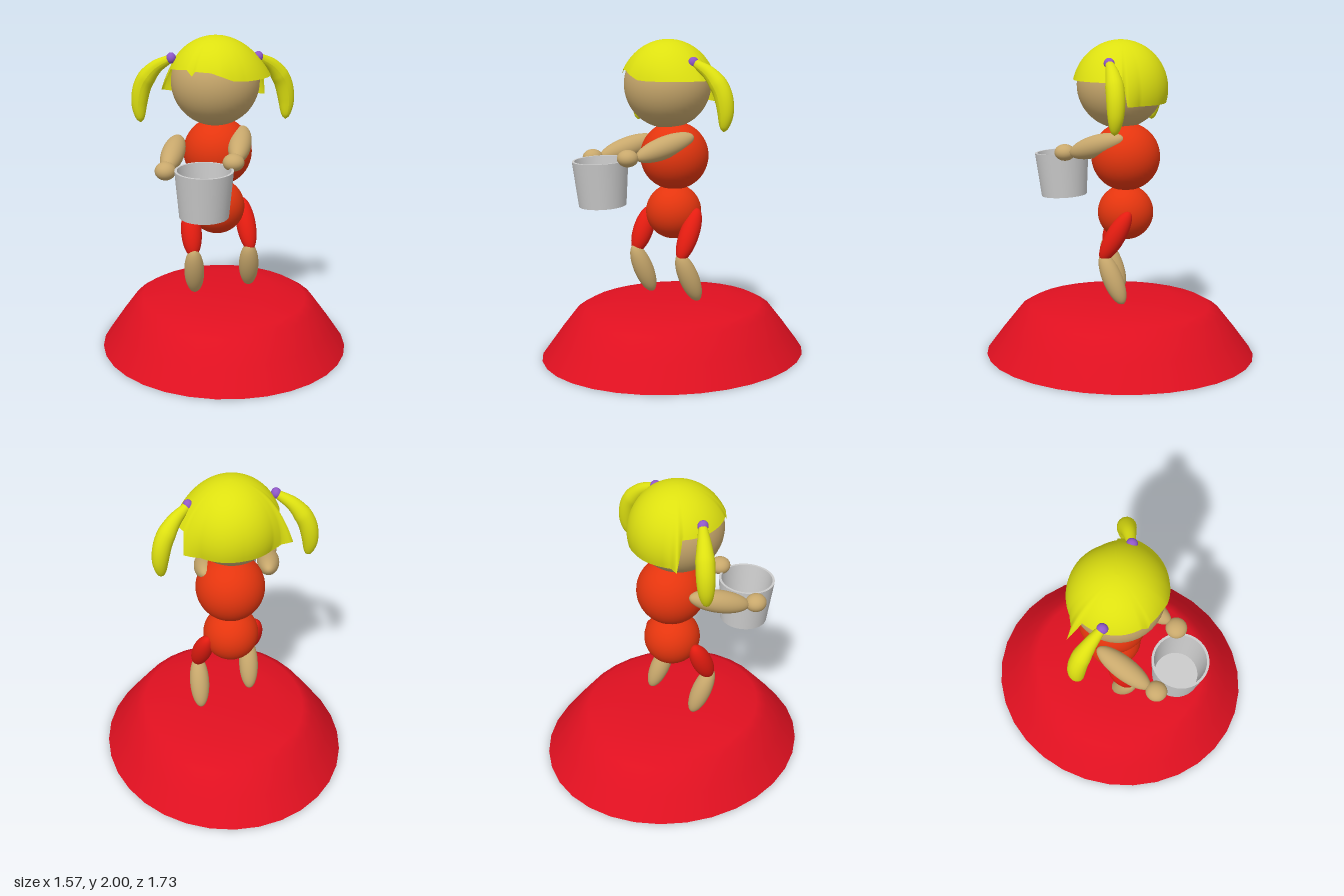
import * as THREE from 'three';

const mat = (color, side = THREE.FrontSide) => new THREE.MeshStandardMaterial({ color, side });
const skin = mat(0xc8a86c), shirt = mat(0xe5350e), trousers = mat(0xe51c10);
const hairMat = mat(0xdde010, THREE.DoubleSide), knotMat = mat(0x9058c8);
const V = (p) => new THREE.Vector3(...p);

function add(group, name, geometry, material) {
  const mesh = new THREE.Mesh(geometry, material);
  mesh.name = name;
  group.add(mesh);
  return mesh;
}

function ball(group, name, center, radii, material) {
  const mesh = add(group, name, new THREE.SphereGeometry(1, 40, 28), material);
  mesh.position.set(...center);
  mesh.scale.set(...radii);
  return mesh;
}

// Ellipsoid limb stretched between two end points
function limb(group, name, from, to, radius, material) {
  const a = V(from), b = V(to), dir = b.clone().sub(a);
  const mid = a.clone().add(b).multiplyScalar(0.5);
  const mesh = ball(group, name, mid.toArray(), [radius, dir.length() / 2, radius], material);
  mesh.quaternion.setFromUnitVectors(new THREE.Vector3(0, 1, 0), dir.normalize());
}

// Hair cap: dome whose hem height and flare vary around the head
// Each key: angle from the front towards +x, hem height, hem radius
const HEM = [
  [0, 1.79, 0.29], [15, 1.76, 0.295], [30, 1.755, 0.30], [60, 1.755, 0.32], [90, 1.755, 0.34],
  [108, 1.755, 0.33], [112, 1.61, 0.35], [128, 1.61, 0.30], [155, 1.61, 0.295], [180, 1.61, 0.285],
  [220, 1.61, 0.285], [232, 1.63, 0.32], [238, 1.64, 0.38], [244, 1.80, 0.285],
  [270, 1.80, 0.28], [316, 1.82, 0.28], [324, 1.785, 0.285], [328, 1.815, 0.28],
  [348, 1.81, 0.28], [360, 1.79, 0.29],
];
function hem(deg) {
  const i = Math.max(1, HEM.findIndex((k) => k[0] >= deg));
  const a = HEM[i - 1], b = HEM[i], f = (deg - a[0]) / (b[0] - a[0]);
  return [a[1] + (b[1] - a[1]) * f, a[2] + (b[2] - a[2]) * f];
}
function hairCap() {
  const slices = 180, rows = 20, R = 0.289, cy = 1.711;
  const pos = [], index = [];
  for (let j = 0; j <= rows; j++) {
    for (let i = 0; i < slices; i++) {
      const deg = (i * 360) / slices, phi = THREE.MathUtils.degToRad(deg), t = j / rows;
      const [y, r] = hem(deg);
      const end = Math.acos((y - cy) / R);
      const rad = R * Math.sin(t * end) + (r - R * Math.sin(end)) * t ** 3;
      pos.push(-0.05 + rad * Math.sin(phi), cy + R * Math.cos(t * end), 0.005 + rad * Math.cos(phi));
      if (j < rows) {
        const n = (i + 1) % slices, a = j * slices + i, b = j * slices + n;
        index.push(a, a + slices, b, b, a + slices, b + slices);
      }
    }
  }
  const g = new THREE.BufferGeometry();
  g.setAttribute('position', new THREE.Float32BufferAttribute(pos, 3));
  g.setIndex(index);
  g.computeVertexNormals();
  return g;
}

// Pigtail: curved tube with a narrow root and a pointed tip
function pigtail(side) {
  const axis = -0.055;
  const path = new THREE.CatmullRomCurve3([
    [0.275, 1.86, 0], [0.365, 1.80, -0.045], [0.435, 1.70, -0.08], [0.462, 1.58, -0.09], [0.457, 1.455, -0.08],
  ].map(([x, y, z]) => new THREE.Vector3(axis + side * x, y, z)));
  const rows = 32, sides = 20;
  const g = new THREE.TubeGeometry(path, rows, 1, sides);
  const p = g.attributes.position, v = new THREE.Vector3();
  for (let j = 0; j <= rows; j++) {
    const t = j / rows, c = path.getPointAt(t);
    const r = (0.026 + 0.03 * Math.min(1, t / 0.4)) * Math.sqrt(Math.max(0, 1 - Math.max(0, (t - 0.55) / 0.45) ** 2));
    for (let i = 0; i <= sides; i++) {
      const k = j * (sides + 1) + i;
      v.fromBufferAttribute(p, k).sub(c).multiplyScalar(r).add(c);
      p.setXYZ(k, v.x, v.y, v.z);
    }
  }
  g.computeVertexNormals();
  return g;
}

export function createModel() {
  const model = new THREE.Group();
  model.name = 'girlWithBucket';

  // Oval mound with a flat top
  const mound = [[0, 0], [1, 0], [1, 0], [0.875, 0.145], [0.75, 0.28], [0.67, 0.318], [0.4, 0.366], [0, 0.366]];
  const base = add(model, 'mound', new THREE.LatheGeometry(mound.slice(2).map((p) => new THREE.Vector2(...p)), 32), mat(0xe01020));
  base.scale.set(0.785, 1, 0.865);
  const under = add(model, 'moundUnderside', new THREE.CircleGeometry(1, 32), mat(0xe01020));
  under.rotation.x = Math.PI / 2;
  under.scale.set(0.785, 0.865, 1);

  // Body and head
  ball(model, 'chest', [-0.035, 1.27, -0.032], [0.215, 0.215, 0.217], shirt);
  ball(model, 'belly', [-0.04, 0.912, -0.03], [0.175, 0.175, 0.177], shirt);
  ball(model, 'head', [-0.053, 1.72, 0.008], [0.273, 0.273, 0.273], skin);

  // Legs
  limb(model, 'leftThigh', [0.125, 0.945, -0.1], [0.165, 0.635, 0.07], 0.062, trousers);
  limb(model, 'rightThigh', [-0.22, 0.925, 0.02], [-0.21, 0.635, 0.15], 0.065, trousers);
  limb(model, 'leftShin', [0.155, 0.68, 0.07], [0.17, 0.363, -0.07], 0.063, skin);
  limb(model, 'rightShin', [-0.21, 0.685, 0.165], [-0.19, 0.363, 0.03], 0.063, skin);

  // Arms and hands
  limb(model, 'leftArm', [0.13, 1.405, -0.06], [0.04, 1.285, 0.31], 0.07, skin);
  limb(model, 'rightArm', [-0.275, 1.36, -0.05], [-0.38, 1.24, 0.31], 0.07, skin);
  ball(model, 'leftHand', [0.016, 1.287, 0.355], [0.065, 0.053, 0.066], skin);
  ball(model, 'rightHand', [-0.39, 1.247, 0.355], [0.063, 0.055, 0.066], skin);

  // Open bucket, leaning slightly forward
  const wall = [[0, 0], [0.148, 0], [0.148, 0], [0.175, 0.285], [0.175, 0.285], [0.16, 0.285], [0.16, 0.285],
    [0.135, 0.015], [0.135, 0.015], [0, 0.015]];
  const bucket = add(model, 'bucket', new THREE.LatheGeometry(wall.map((p) => new THREE.Vector2(...p)), 40),
    mat(0xcccccc, THREE.DoubleSide));
  bucket.position.set(-0.168, 0.98, 0.422);
  bucket.rotation.x = 0.055;

  // Hair
  add(model, 'hairCap', hairCap(), hairMat);
  for (const [side, label] of [[1, 'left'], [-1, 'right']]) {
    add(model, label + 'Pigtail', pigtail(side), hairMat);
    ball(model, label + 'HairTie', [-0.055 + side * 0.268, 1.865, 0.005], [0.03, 0.034, 0.033], knotMat);
  }
  return model;
}
